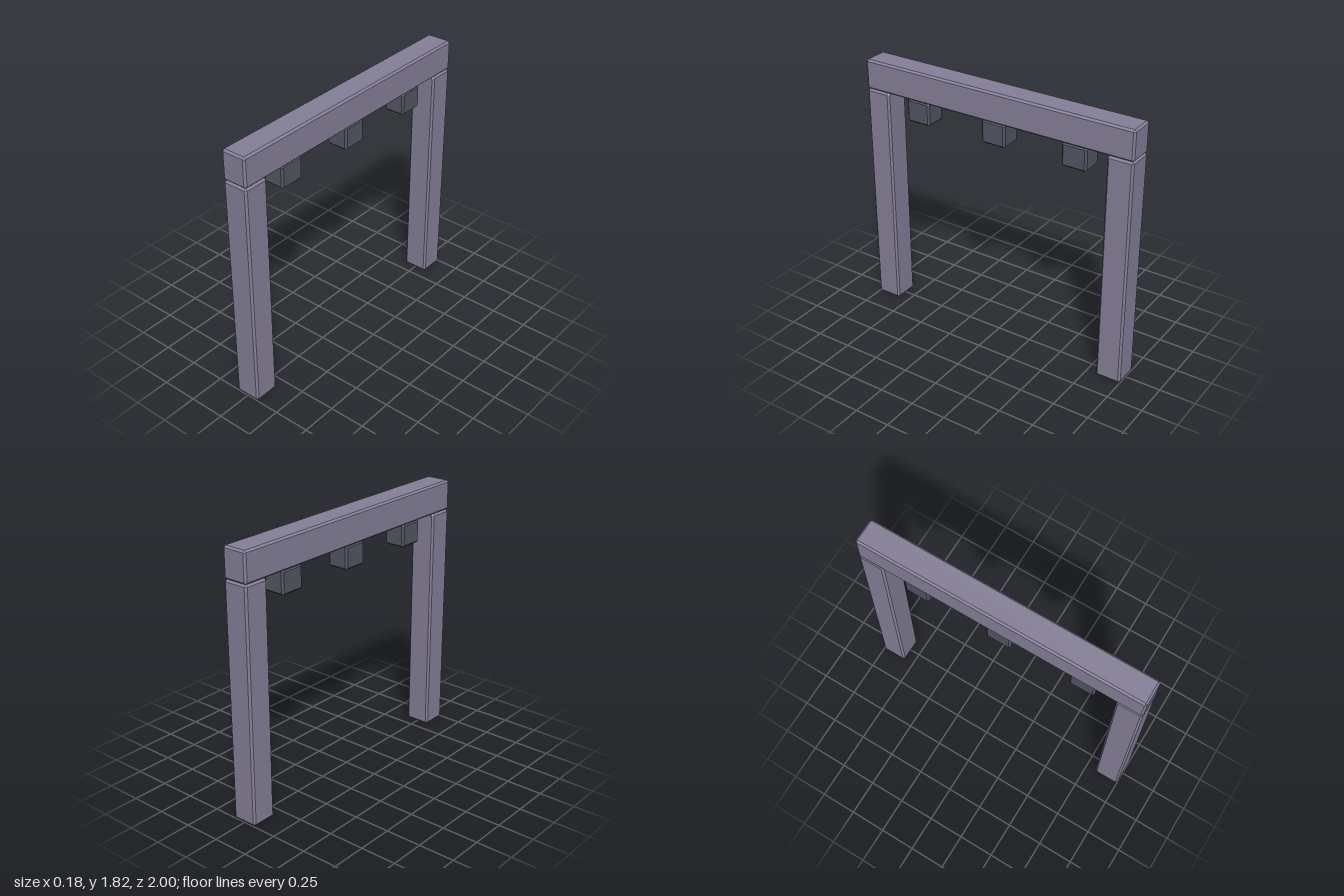
import * as THREE from 'three';
import { ConvexGeometry } from 'three/addons/geometries/ConvexGeometry.js';

// Box with a flat chamfer on every edge
function chamferBox(w, h, d, c = 0.013) {
  const pts = [];
  for (const sx of [-1, 1]) for (const sy of [-1, 1]) for (const sz of [-1, 1]) {
    const x = sx * w / 2, y = sy * h / 2, z = sz * d / 2;
    pts.push(
      new THREE.Vector3(x, y - sy * c, z - sz * c),
      new THREE.Vector3(x - sx * c, y, z - sz * c),
      new THREE.Vector3(x - sx * c, y - sy * c, z)
    );
  }
  return new ConvexGeometry(pts);
}

export function createModel() {
  const model = new THREE.Group();
  model.name = 'beamFrame';
  const frameMat = new THREE.MeshStandardMaterial({ color: 0x857f98, flatShading: true });
  const blockMat = new THREE.MeshStandardMaterial({ color: 0x525662, flatShading: true });

  const add = (name, geometry, material, y, z) => {
    const mesh = new THREE.Mesh(geometry, material);
    mesh.name = name;
    mesh.position.set(0, y, z);
    model.add(mesh);
  };

  const width = 0.178, postHeight = 1.61, beamHeight = 0.208;

  // Beam resting on the two posts
  add('beam', chamferBox(width, beamHeight, 2), frameMat, postHeight + beamHeight / 2, 0);

  const post = chamferBox(width, postHeight, width);
  add('frontPost', post, frameMat, postHeight / 2, 1 - width / 2);
  add('backPost', post, frameMat, postHeight / 2, -1 + width / 2);

  // Dark blocks hanging under the beam
  const block = chamferBox(0.152, 0.162, 0.177);
  ['frontBlock', 'middleBlock', 'backBlock'].forEach((name, i) =>
    add(name, block, blockMat, postHeight - 0.081, (1 - i) * 0.59));

  return model;
}
